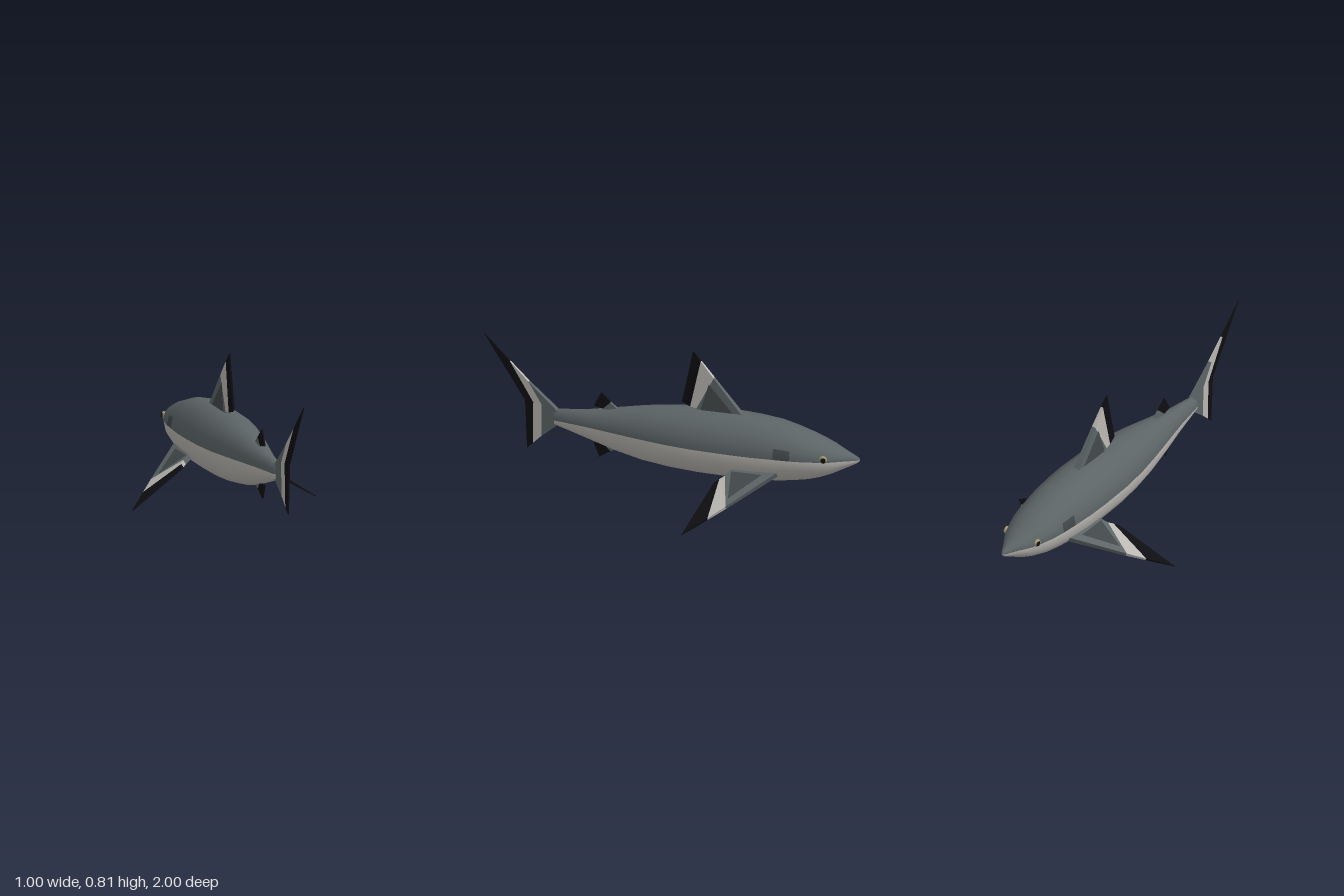
import * as THREE from 'three';

const mat = (color, side = THREE.FrontSide) => new THREE.MeshStandardMaterial({ color, side });
const GREY = 0x5c6466, LIGHT = 0xbab7b2, DARK = 0x42484a, BLACK = 0x0e0e12;
const SIDES = 16;

// Body stations from nose to tail: z, half width, top, waterline, bottom
const STATIONS = [
  [-1, 0.004, 0.324, 0.318, 0.312], [-0.985, 0.016, 0.335, 0.318, 0.298],
  [-0.93, 0.047, 0.357, 0.32, 0.268], [-0.86, 0.09, 0.386, 0.322, 0.232],
  [-0.8, 0.112, 0.412, 0.324, 0.207], [-0.74, 0.13, 0.434, 0.325, 0.189],
  [-0.665, 0.142, 0.458, 0.326, 0.175], [-0.58, 0.152, 0.48, 0.328, 0.162],
  [-0.46, 0.161, 0.494, 0.329, 0.155], [-0.35, 0.163, 0.5, 0.33, 0.152],
  [-0.15, 0.158, 0.499, 0.332, 0.155], [0, 0.143, 0.488, 0.334, 0.163],
  [0.15, 0.117, 0.468, 0.336, 0.18], [0.3, 0.086, 0.44, 0.338, 0.213],
  [0.45, 0.055, 0.412, 0.34, 0.258], [0.62, 0.028, 0.395, 0.342, 0.31],
];
const GILL_STATION = 6;

// Smooth body shell, divided into back, belly and gill panels sharing the same normals
function buildBody() {
  const pos = [], parts = { back: [], belly: [], gills: [] };
  for (const [z, w, top, mid, bottom] of STATIONS) {
    for (let j = 0; j < SIDES; j++) {
      const a = (j / SIDES) * Math.PI * 2, s = Math.sin(a);
      pos.push(w * Math.cos(a), mid + s * (s > 0 ? top - mid : mid - bottom), z);
    }
  }
  const last = STATIONS.length - 1, noseTip = pos.length / 3, tailEnd = noseTip + 1;
  pos.push(0, STATIONS[0][3], STATIONS[0][0], 0, STATIONS[last][3], STATIONS[last][0]);
  for (let j = 0; j < SIDES; j++) {
    const k = (j + 1) % SIDES, half = j < SIDES / 2 ? 'back' : 'belly';
    for (let i = 0; i < last; i++) {
      const gill = i === GILL_STATION && (j === 0 || j === SIDES / 2 - 1);
      const a = i * SIDES + j, b = i * SIDES + k;
      parts[gill ? 'gills' : half].push(a, b, b + SIDES, a, b + SIDES, a + SIDES);
    }
    parts[half].push(noseTip, k, j, tailEnd, last * SIDES + j, last * SIDES + k);
  }
  const whole = new THREE.BufferGeometry();
  whole.setAttribute('position', new THREE.Float32BufferAttribute(pos, 3));
  whole.setIndex(Object.values(parts).flat());
  whole.computeVertexNormals();
  const group = new THREE.Group();
  group.name = 'body';
  const colors = { back: GREY, belly: LIGHT, gills: DARK };
  for (const name in parts) {
    const geo = whole.clone();
    geo.setIndex(parts[name]);
    const mesh = new THREE.Mesh(geo, mat(colors[name]));
    mesh.name = name;
    group.add(mesh);
  }
  return group;
}

// Convex slab from outline points [u, v, half thickness]; map places (u, v, offset) in space
function slab(points, map) {
  const n = points.length, pos = [];
  const front = points.map(([u, v, t]) => map(u, v, t));
  const back = points.map(([u, v, t]) => map(u, v, -t));
  for (let i = 1; i < n - 1; i++) {
    pos.push(...front[0], ...front[i], ...front[i + 1]);
    pos.push(...back[0], ...back[i + 1], ...back[i]);
  }
  for (let i = 0; i < n; i++) {
    const k = (i + 1) % n;
    pos.push(...front[i], ...back[i], ...back[k], ...front[i], ...back[k], ...front[k]);
  }
  const geo = new THREE.BufferGeometry();
  geo.setAttribute('position', new THREE.Float32BufferAttribute(pos, 3));
  geo.computeVertexNormals();
  return geo;
}

// Fin made of coloured bands between successive rows, root to trailing edge
function fin(name, rows, colors, map, patch) {
  const group = new THREE.Group();
  group.name = name;
  const add = (part, points, color) => {
    const mesh = new THREE.Mesh(slab(points, map), mat(color, THREE.DoubleSide));
    mesh.name = part;
    group.add(mesh);
  };
  colors.forEach((color, i) => {
    for (let j = 0; j + 1 < rows[i].length; j++) {
      add(`${name}Band`, [rows[i][j], rows[i][j + 1], rows[i + 1][j + 1], rows[i + 1][j]], color);
    }
  });
  if (patch) add(`${name}Patch`, patch, DARK);
  return group;
}

export function createModel() {
  const model = new THREE.Group();
  model.add(buildBody());

  // Upright fins lie in the middle plane as (z, y)
  const upright = (z, y, t) => [t, y, z];
  model.add(fin('dorsalFin', [
    [[-0.39, 0.475, 0.018], [-0.15, 0.475, 0.018]],
    [[-0.225, 0.675, 0.011], [-0.135, 0.5, 0.015]],
    [[-0.155, 0.76, 0.007], [-0.1, 0.505, 0.011]],
    [[-0.113, 0.81, 0.003], [-0.055, 0.525, 0.006]],
  ], [GREY, LIGHT, BLACK], upright,
  [[-0.335, 0.49, 0.0185], [-0.155, 0.49, 0.0185], [-0.2, 0.64, 0.0135]]));

  model.add(fin('rearDorsalFin', [
    [[0.27, 0.42, 0.01], [0.36, 0.41, 0.01]],
    [[0.325, 0.47, 0.008], [0.365, 0.432, 0.008]],
    [[0.375, 0.52, 0.003], [0.415, 0.44, 0.004]],
  ], [GREY, BLACK], upright));

  model.add(fin('analFin', [
    [[0.27, 0.225, 0.01], [0.36, 0.25, 0.01]],
    [[0.325, 0.2, 0.008], [0.365, 0.24, 0.008]],
    [[0.385, 0.16, 0.003], [0.415, 0.235, 0.004]],
  ], [GREY, BLACK], upright));

  // Tail fin with a long upper and a short lower lobe
  model.add(fin('tailFin', [
    [[0.6, 0.385, 0.017], [0.6, 0.345, 0.017], [0.6, 0.315, 0.017]],
    [[0.76, 0.53, 0.01], [0.69, 0.415, 0.012], [0.69, 0.24, 0.009]],
    [[0.86, 0.63, 0.006], [0.735, 0.42, 0.009], [0.738, 0.192, 0.006]],
    [[1, 0.77, 0.002], [0.78, 0.425, 0.005], [0.77, 0.16, 0.002]],
  ], [GREY, LIGHT, BLACK], upright));

  for (const side of [1, -1]) {
    const label = side > 0 ? 'left' : 'right';

    // Pectoral fin laid out as (x, z) on a plane sloping down and outward
    const sloped = (x, z, t) => [side * (x + 0.53 * t), 0.234 - (x - 0.12) * 0.607 + 0.85 * t, z];
    model.add(fin(`${label}PectoralFin`, [
      [[0.12, -0.595, 0.016], [0.12, -0.36, 0.016]],
      [[0.325, -0.385, 0.01], [0.165, -0.335, 0.014]],
      [[0.395, -0.31, 0.007], [0.185, -0.31, 0.011]],
      [[0.497, -0.2, 0.002], [0.205, -0.285, 0.006]],
    ], [GREY, LIGHT, BLACK], sloped,
    [[0.14, -0.52, 0.0165], [0.14, -0.36, 0.0165], [0.28, -0.385, 0.0125]]));

    // Eye with a pale iris and a black pupil
    const iris = new THREE.Mesh(new THREE.SphereGeometry(0.021, 16, 12), mat(0xa39a70));
    iris.name = `${label}Iris`;
    iris.scale.x = 0.6;
    iris.position.set(side * 0.097, 0.337, -0.833);
    const pupil = new THREE.Mesh(new THREE.SphereGeometry(0.015, 16, 12), mat(BLACK));
    pupil.name = `${label}Pupil`;
    pupil.scale.x = 0.6;
    pupil.position.set(side * 0.103, 0.337, -0.835);
    model.add(iris, pupil);
  }
  return model;
}
